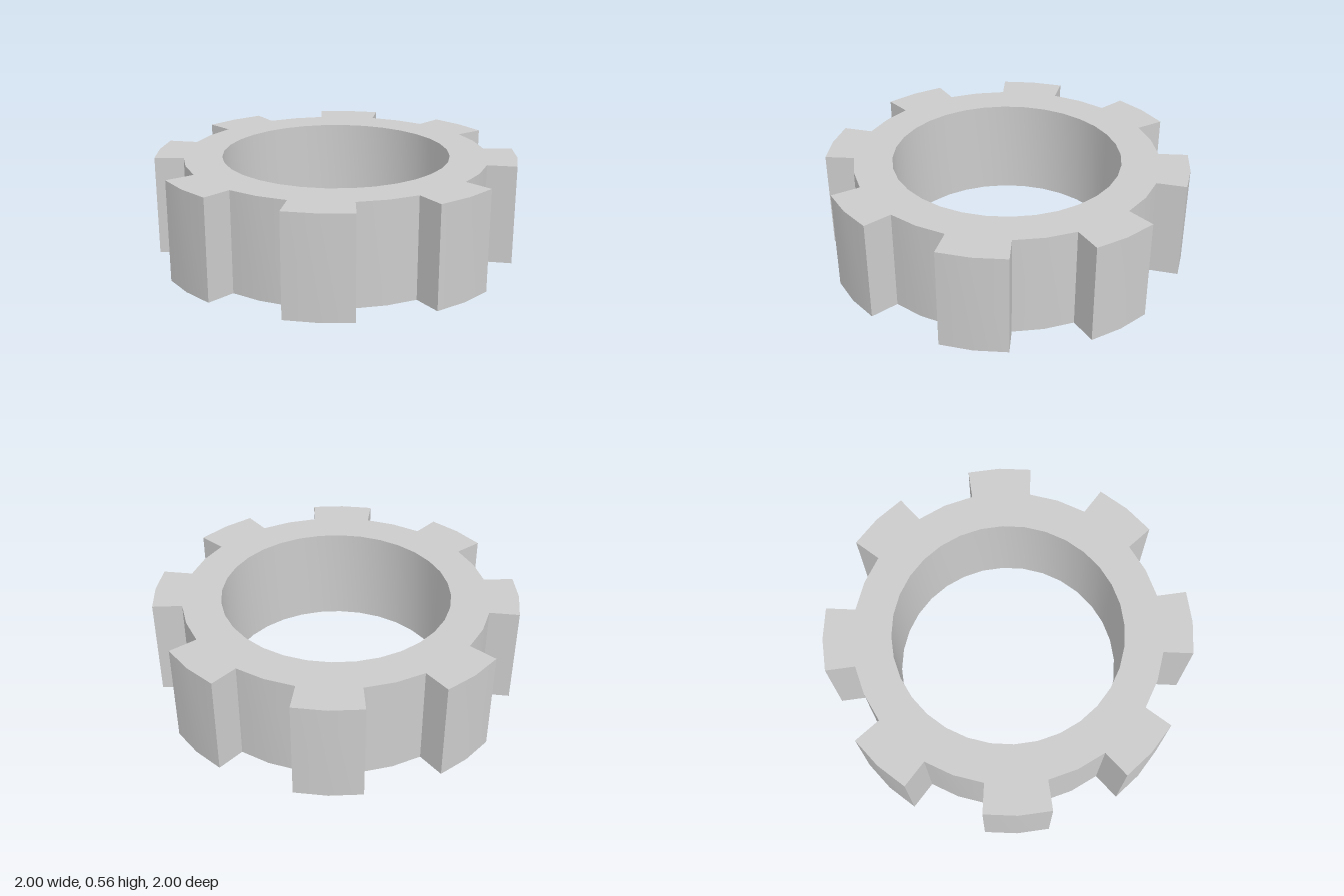
import * as THREE from 'three';
import { toCreasedNormals } from 'three/addons/utils/BufferGeometryUtils.js';

const TEETH = 8, HEIGHT = 0.555;
const TIP_R = 1, ROOT_R = 0.84, BORE_R = 0.63;
const TIP_HALF = 10.3, ROOT_HALF = 11.25; // half angles of a tooth, in degrees

function polar(radius, degrees) {
  const a = THREE.MathUtils.degToRad(degrees);
  return new THREE.Vector2(radius * Math.cos(a), radius * Math.sin(a));
}

export function createModel() {
  const group = new THREE.Group();
  group.name = 'gearRing';

  // Outline: slightly tapered teeth with faceted arcs at tip and root
  const outline = [];
  for (let i = 0; i < TEETH; i++) {
    const mid = (i * 360) / TEETH;
    outline.push(
      polar(ROOT_R, mid - ROOT_HALF),
      polar(TIP_R, mid - TIP_HALF),
      polar(TIP_R, mid),
      polar(TIP_R, mid + TIP_HALF),
      polar(ROOT_R, mid + ROOT_HALF),
      polar(ROOT_R, mid + 180 / TEETH)
    );
  }
  const shape = new THREE.Shape(outline);

  // Round bore through the middle
  const bore = [];
  for (let i = 0; i < 32; i++) bore.push(polar(BORE_R, -i * 11.25));
  shape.holes.push(new THREE.Path(bore));

  // Extrude upwards, smooth along the arcs and sharp at the tooth edges
  const extruded = new THREE.ExtrudeGeometry(shape, { depth: HEIGHT, bevelEnabled: false });
  extruded.rotateX(-Math.PI / 2);
  const gear = new THREE.Mesh(
    toCreasedNormals(extruded, Math.PI / 6),
    new THREE.MeshStandardMaterial({ color: 0xcccccc })
  );
  gear.name = 'toothedRing';
  group.add(gear);
  return group;
}
